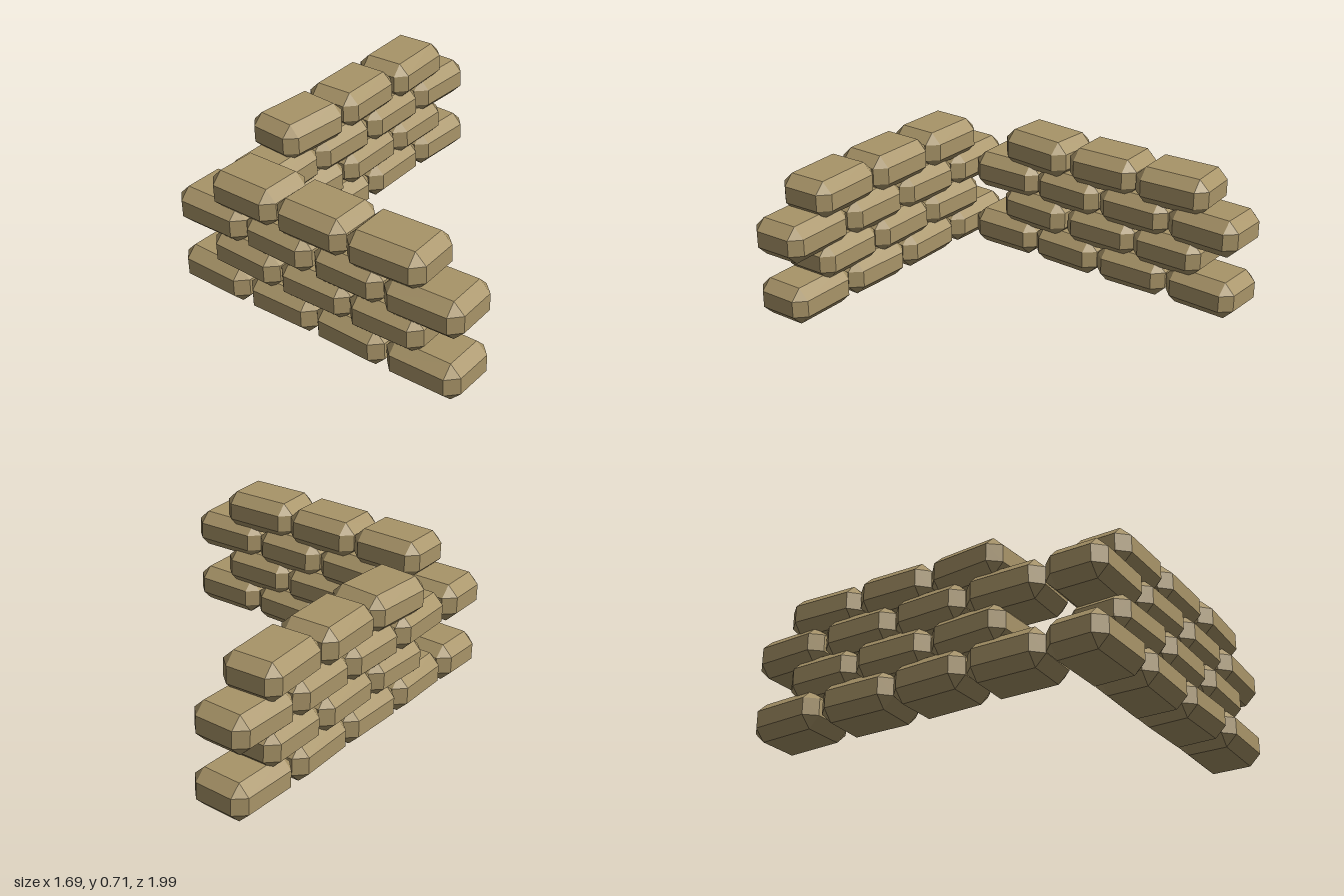
import * as THREE from 'three';
import { ConvexGeometry } from 'three/addons/geometries/ConvexGeometry.js';

const HEIGHT = 0.2, DEPTH = 0.315, BEVEL = 0.056, ROW_STEP = 0.17;

// Box with chamfered edges and triangular corners, long along x
function bagGeometry(length) {
  const h = [length / 2, HEIGHT / 2, DEPTH / 2];
  const points = [];
  for (const sx of [-1, 1]) for (const sy of [-1, 1]) for (const sz of [-1, 1]) {
    for (let full = 0; full < 3; full++) {
      const p = h.map((v, i) => (i === full ? v : v - BEVEL));
      points.push(new THREE.Vector3(p[0] * sx, p[1] * sy, p[2] * sz));
    }
  }
  return new ConvexGeometry(points);
}

// Each bag: [centre along the wall, length, turn about y]; rows from the ground up
const frontRows = [
  [[-0.632, 0.425, -0.02], [-0.205, 0.41, 0.02], [0.207, 0.41, -0.02], [0.625, 0.41, 0.02]],
  [[-0.42, 0.425, -0.03], [0.003, 0.415, 0.02], [0.418, 0.415, 0.03]],
  [[-0.632, 0.425, 0.01], [-0.208, 0.41, -0.02], [0.207, 0.4, 0.01], [0.627, 0.425, 0.045]],
  [[-0.415, 0.4, 0], [-0.003, 0.41, 0.01], [0.42, 0.425, 0.055]],
];
const sideRows = [
  [[0.455, 0.41, 0.02], [0.045, 0.405, -0.02], [-0.367, 0.415, 0.03], [-0.79, 0.405, -0.03]],
  [[0.258, 0.415, -0.04], [-0.17, 0.42, 0.03], [-0.58, 0.4, 0.01]],
  [[0.45, 0.415, 0.03], [0.042, 0.4, -0.02], [-0.37, 0.41, 0.02], [-0.787, 0.405, -0.02]],
  [[0.25, 0.415, -0.07], [-0.17, 0.405, 0.04], [-0.587, 0.415, 0.06]],
];

export function createModel() {
  const model = new THREE.Group();
  model.name = 'sandbagCorner';
  const burlap = new THREE.MeshStandardMaterial({ color: 0xa89468, flatShading: true });
  burlap.name = 'burlap';

  function buildWall(name, rows, place) {
    const wall = new THREE.Group();
    wall.name = name;
    rows.forEach((row, r) => row.forEach(([along, length, turn]) => {
      const bag = new THREE.Mesh(bagGeometry(length), burlap);
      bag.name = 'sandbag';
      bag.position.y = HEIGHT / 2 + r * ROW_STEP;
      place(bag, along, turn);
      wall.add(bag);
    }));
    model.add(wall);
  }

  // Front wall runs along x
  buildWall('frontWall', frontRows, (bag, along, turn) => {
    bag.position.x = along;
    bag.position.z = 0.825;
    bag.rotation.y = turn;
  });
  // Side wall runs back along z from the corner
  buildWall('sideWall', sideRows, (bag, along, turn) => {
    bag.position.x = -0.68;
    bag.position.z = along;
    bag.rotation.y = Math.PI / 2 + turn;
  });
  return model;
}
